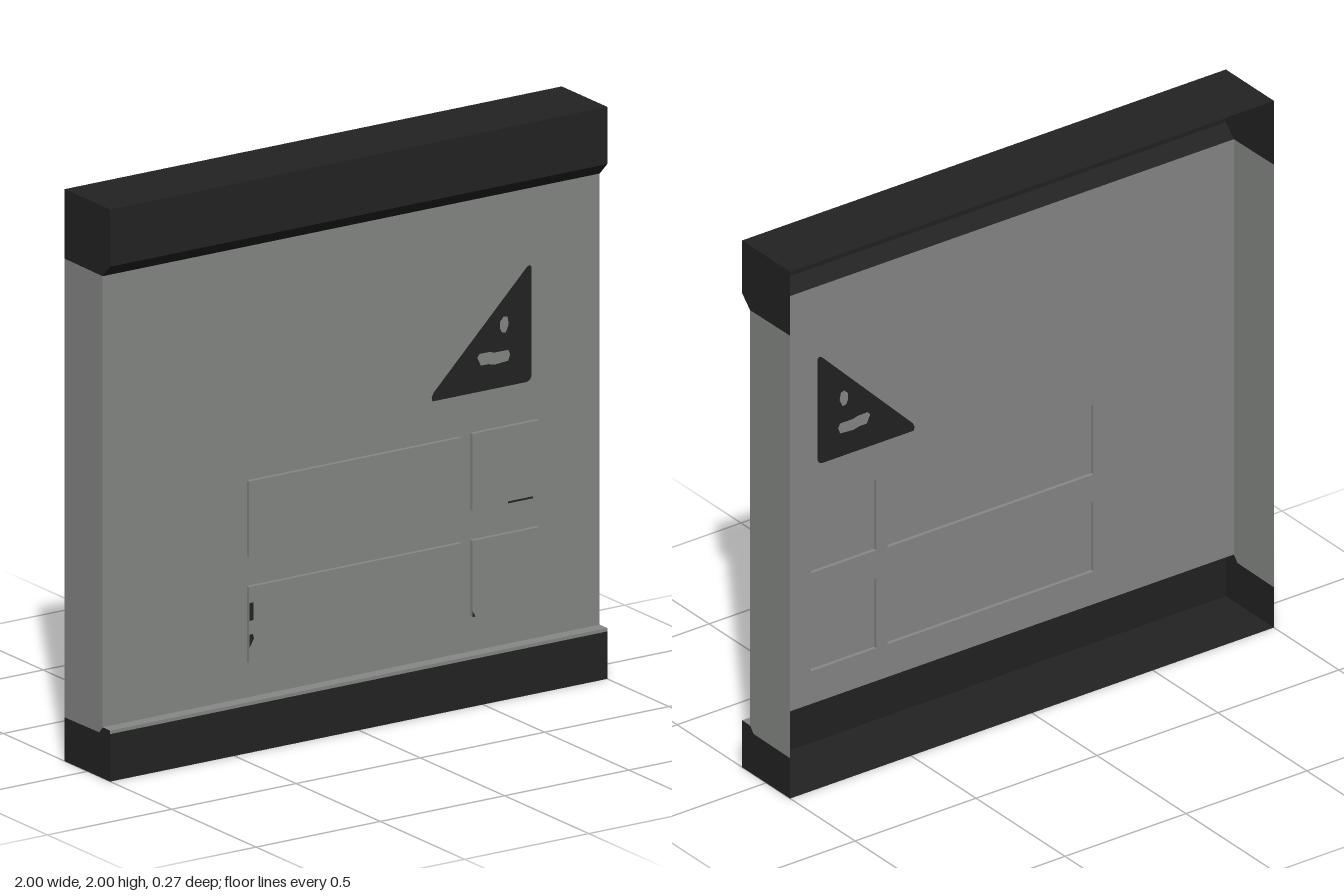
import * as THREE from 'three';

const HALF_W = 1, BACK = -0.135, LIP = 0.135, FACE = 0.09, PANEL = 0.104;

export function createModel() {
  const model = new THREE.Group();
  model.name = 'wallPanel';

  const mat = (name, color) => {
    const m = new THREE.MeshStandardMaterial({ color, side: THREE.DoubleSide });
    m.name = name;
    return m;
  };
  const grey = mat('panelGrey', 0x878987);
  const dark = mat('trimBlack', 0x232323);

  const add = (name, geometry, material, parent = model) => {
    const mesh = new THREE.Mesh(geometry, material);
    mesh.name = name;
    parent.add(mesh);
    return mesh;
  };

  // Sheet swept across the full width along a [z, y] line, listed from top-back to bottom-back
  const sweep = (line) => {
    const pos = [];
    for (let i = 0; i < line.length - 1; i++) {
      const [z0, y0] = line[i], [z1, y1] = line[i + 1];
      const a = [-HALF_W, y0, z0], b = [HALF_W, y0, z0];
      const c = [-HALF_W, y1, z1], d = [HALF_W, y1, z1];
      pos.push(...a, ...c, ...d, ...a, ...d, ...b);
    }
    const g = new THREE.BufferGeometry();
    g.setAttribute('position', new THREE.Float32BufferAttribute(pos, 3));
    g.computeVertexNormals();
    return g;
  };

  const polygon = (pts) => new THREE.Shape(pts.map(([x, y]) => new THREE.Vector2(x, y)));
  const rect = (x0, y0, x1, y1) => polygon([[x0, y0], [x1, y0], [x1, y1], [x0, y1]]);

  // Hollow header and plinth, open at the back
  add('header', sweep([[BACK, 2], [LIP, 2], [LIP, 1.8], [FACE, 1.755]]), dark);
  add('plinthLedge', sweep([[FACE, 0.178], [LIP, 0.178], [LIP, 0.166]]), grey);
  add('plinth', sweep([[LIP, 0.166], [LIP, 0], [BACK, 0]]), dark);

  // End walls, split by colour
  const ends = [
    ['headerEnd', dark, [[BACK, 1.757], [FACE, 1.755], [LIP, 1.8], [LIP, 2], [BACK, 2]]],
    ['sideWall', grey, [[BACK, 0.153], [0.07, 0.155], [FACE, 0.178], [FACE, 1.755], [BACK, 1.757]]],
    ['plinthEnd', dark, [[BACK, 0], [LIP, 0], [LIP, 0.178], [FACE, 0.178], [0.07, 0.155], [BACK, 0.153]]],
  ];
  for (const [name, material, pts] of ends) {
    for (const side of [-1, 1]) {
      const end = add(name, new THREE.ShapeGeometry(polygon(pts)), material);
      end.rotation.y = side * Math.PI / 2;
      end.position.x = side * HALF_W;
      // Mirror so the front lip stays at +z on both sides
      if (side > 0) end.scale.x = -1;
    }
  }

  // Front wall with openings behind the raised panels
  const panels = [
    [-0.42, 0.67, 0.432, 0.937], [0.478, 0.674, 0.748, 0.942],
    [-0.42, 0.302, 0.432, 0.568], [0.478, 0.302, 0.748, 0.568],
  ];
  const wall = rect(-HALF_W, 0.178, HALF_W, 1.755);
  for (const p of panels) wall.holes.push(rect(...p));
  add('frontWall', new THREE.ShapeGeometry(wall), grey).position.z = FACE;

  // Raised panels: face plus four thin edges, hollow from behind
  for (const [x0, y0, x1, y1] of panels) {
    const panel = new THREE.Group();
    panel.name = 'raisedPanel';
    model.add(panel);
    add('panelFace', new THREE.ShapeGeometry(rect(x0, y0, x1, y1)), grey, panel).position.z = PANEL;
    const depth = PANEL - FACE, z = (PANEL + FACE) / 2;
    for (const s of [-1, 1]) {
      const sideEdge = add('panelEdge', new THREE.PlaneGeometry(depth, y1 - y0), grey, panel);
      sideEdge.position.set(s < 0 ? x0 : x1, (y0 + y1) / 2, z);
      sideEdge.rotation.y = s * Math.PI / 2;
      const flatEdge = add('panelEdge', new THREE.PlaneGeometry(x1 - x0, depth), grey, panel);
      flatEdge.position.set((x0 + x1) / 2, s < 0 ? y0 : y1, z);
      flatEdge.rotation.x = -s * Math.PI / 2;
    }
  }

  // Small dark scuffs at the panel rims
  const scuffs = [
    [[-0.42, 0.45], [-0.404, 0.45], [-0.404, 0.512], [-0.42, 0.512]],
    [[-0.42, 0.355], [-0.402, 0.385], [-0.406, 0.402], [-0.42, 0.402]],
    [[0.62, 0.674], [0.72, 0.674], [0.72, 0.681], [0.62, 0.681]],
    [[0.478, 0.302], [0.49, 0.302], [0.478, 0.322]],
  ];
  for (const pts of scuffs) {
    add('rimScuff', new THREE.ShapeGeometry(polygon(pts)), dark).position.z = PANEL + 0.002;
  }

  // Slotted triangle painted on both faces of the front wall
  const triangle = polygon([
    [0.325, 1.08], [0.705, 1.08], [0.718, 1.086], [0.724, 1.1],
    [0.724, 1.48], [0.716, 1.487], [0.705, 1.482], [0.33, 1.11], [0.322, 1.095],
  ]);
  triangle.holes.push(
    polygon([[0.505, 1.2], [0.515, 1.212], [0.555, 1.212], [0.575, 1.206], [0.63, 1.206],
      [0.638, 1.19], [0.63, 1.168], [0.575, 1.164], [0.55, 1.17], [0.52, 1.17]]),
    polygon([[0.597, 1.285], [0.597, 1.31], [0.612, 1.326], [0.627, 1.322],
      [0.632, 1.295], [0.62, 1.268], [0.606, 1.27]]),
  );
  for (const s of [-1, 1]) {
    add('triangleMark', new THREE.ShapeGeometry(triangle), dark).position.z = FACE + s * 0.003;
  }

  return model;
}
